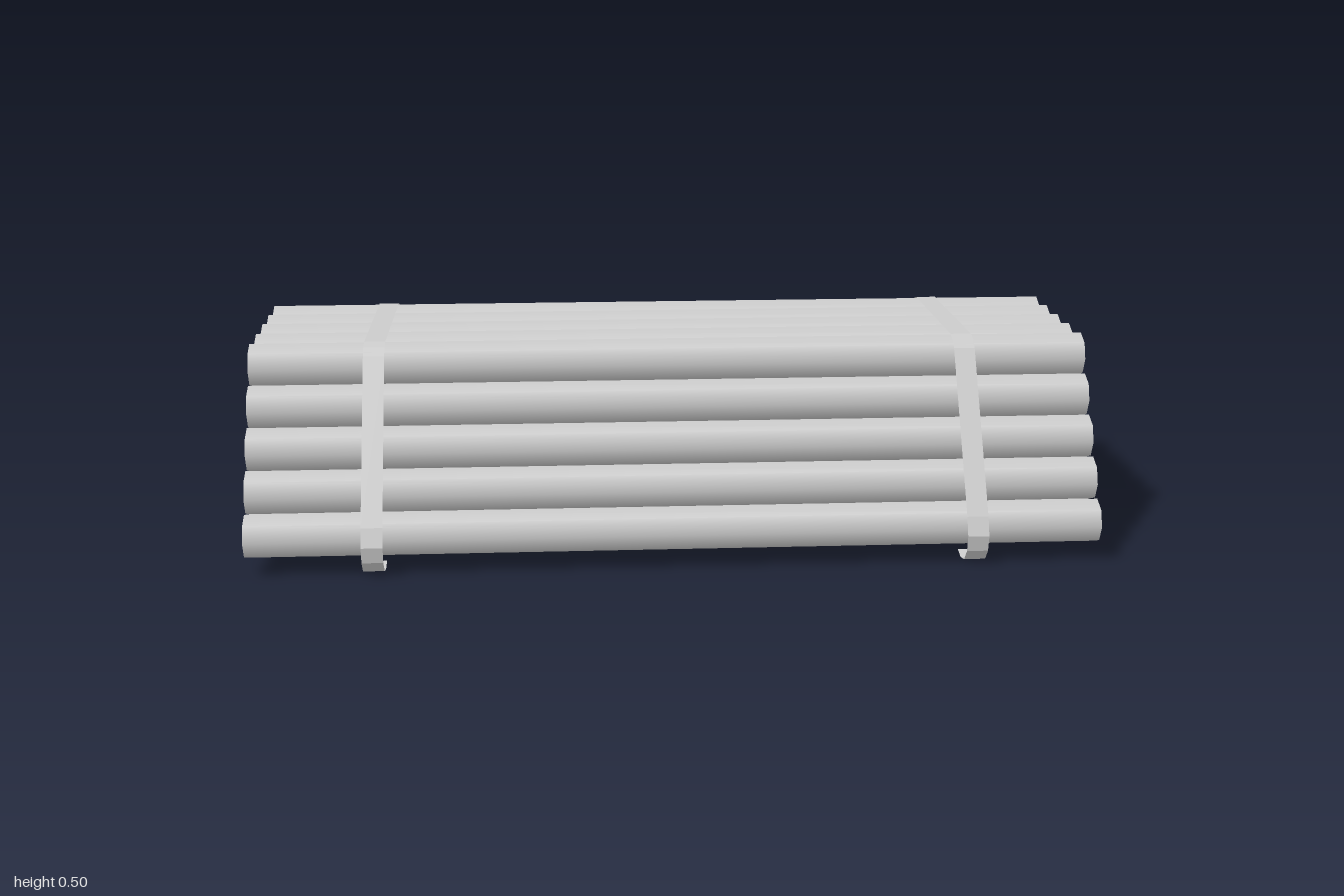
import * as THREE from 'three';

const RADIUS = 0.053;
const PITCH = 0.1092;      // spacing of the bars within a row
const ROW_HEIGHT = 0.0885; // spacing of the rows
const FIRST_ROW_Y = 0.089;
const ROWS = [9, 8, 7, 6, 5];

function createBars(material) {
  const bars = new THREE.Group();
  bars.name = 'stackedBars';
  // eight-sided bar lying along x
  const geometry = new THREE.CylinderGeometry(RADIUS, RADIUS, 2, 8);
  geometry.rotateZ(Math.PI / 2);
  geometry.rotateX(0.03);
  ROWS.forEach((count, row) => {
    for (let i = 0; i < count; i++) {
      const bar = new THREE.Mesh(geometry, material);
      bar.name = `bar_row${row + 1}_${i + 1}`;
      bar.position.set(0, FIRST_ROW_Y + row * ROW_HEIGHT, (i - (count - 1) / 2) * PITCH + 0.004);
      bars.add(bar);
    }
  });
  return bars;
}

// Thin ribbon over the stack, its ends hooked under the outermost bars
function createStrapGeometry(width) {
  // half path as [z, y], from the hooked end up to the top row
  const half = [
    [0.4, 0.008], [0.435, 0], [0.472, 0.008], [0.498, 0.037], [0.505, 0.075],
    [0.487, 0.118], [0.269, 0.472], [0.25, 0.489], [0.222, 0.497],
  ];
  const path = [...half, ...half.map(([z, y]) => [-z, y]).reverse()];
  const geometry = new THREE.PlaneGeometry(width, 1, 1, path.length - 1);
  const position = geometry.attributes.position;
  for (let i = 0; i < position.count; i++) {
    const [z, y] = path[path.length - 1 - Math.floor(i / 2)];
    position.setXYZ(i, position.getX(i), y, z);
  }
  geometry.computeVertexNormals();
  return geometry;
}

export function createModel() {
  const model = new THREE.Group();
  model.name = 'strappedBarStack';

  const barMaterial = new THREE.MeshStandardMaterial({ color: 0xcccccc });
  model.add(createBars(barMaterial));

  const strapMaterial = new THREE.MeshStandardMaterial({
    color: 0xcccccc, side: THREE.DoubleSide, flatShading: true,
  });
  const strapGeometry = createStrapGeometry(0.05);
  for (const side of [-1, 1]) {
    const strap = new THREE.Mesh(strapGeometry, strapMaterial);
    strap.name = side > 0 ? 'leftStrap' : 'rightStrap';
    strap.position.x = side * 0.705;
    model.add(strap);
  }
  return model;
}
